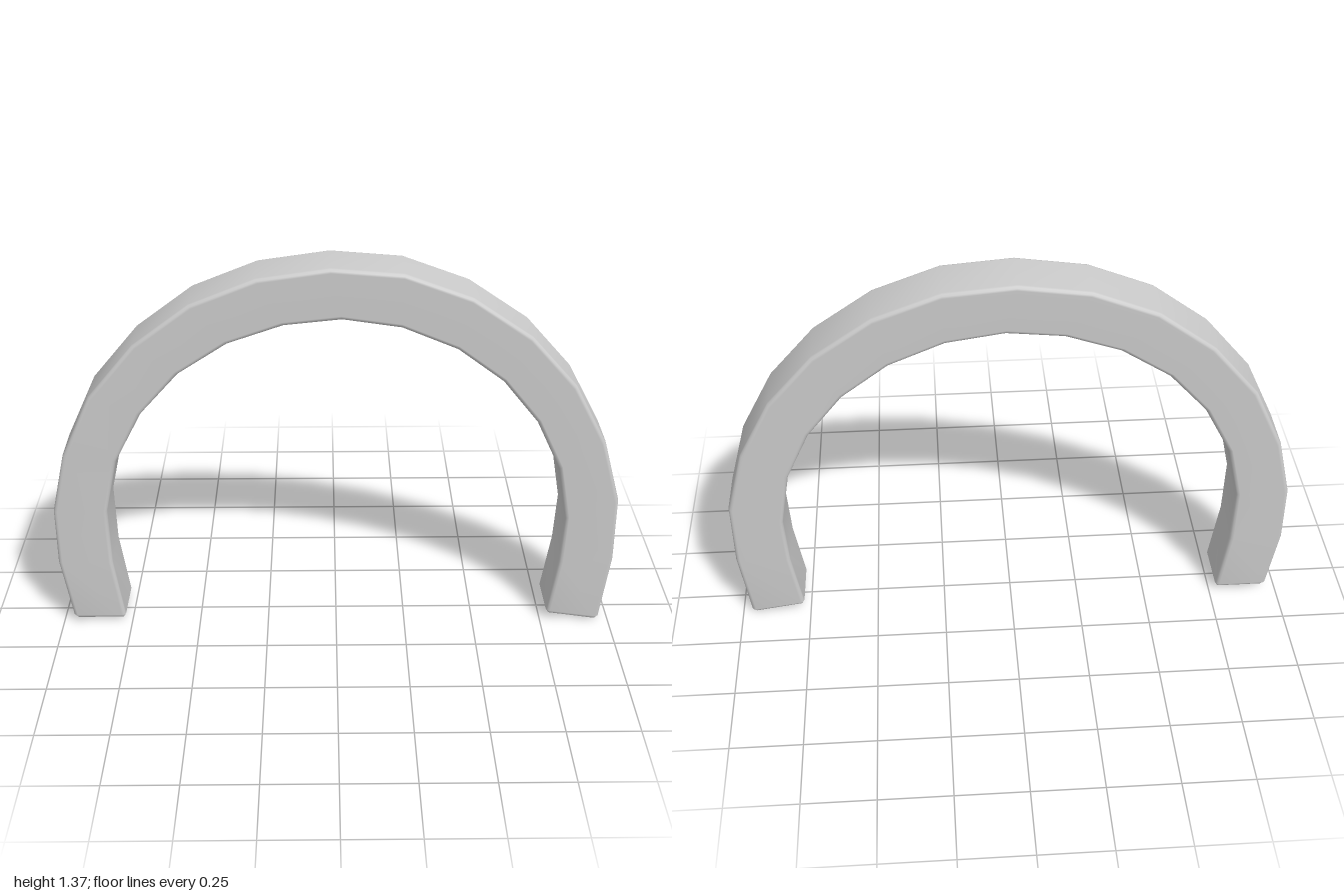
import * as THREE from 'three';

// matching stations along the arch, from the right foot over the top to the left foot
const OUTER = [[-0.96, 0.02], [-1, 0.26], [-1, 0.47], [-0.95, 0.69], [-0.845, 0.915], [-0.685, 1.105],
  [-0.49, 1.25], [-0.265, 1.34], [-0.02, 1.375], [0.225, 1.355], [0.455, 1.27], [0.66, 1.13],
  [0.82, 0.95], [0.935, 0.735], [1, 0.5], [1, 0.26], [0.965, 0]];
const INNER = [[-0.77, 0.02], [-0.805, 0.26], [-0.81, 0.47], [-0.765, 0.67], [-0.67, 0.85], [-0.535, 1],
  [-0.365, 1.11], [-0.175, 1.175], [0.02, 1.195], [0.22, 1.165], [0.41, 1.085], [0.57, 0.965],
  [0.695, 0.81], [0.78, 0.63], [0.815, 0.43], [0.805, 0.25], [0.77, 0.03]];
const HALF_DEPTH = 0.098, BEVEL = 0.015, CORNER_STEPS = 3;

// rounded rectangle, counter-clockwise: [across, z]
function section(halfWidth, inset) {
  const points = [];
  [[1, 1], [-1, 1], [-1, -1], [1, -1]].forEach(([sx, sz], q) => {
    for (let k = 0; k <= CORNER_STEPS; k++) {
      const a = (q + k / CORNER_STEPS) * Math.PI / 2;
      const r = BEVEL - inset;
      points.push([sx * (halfWidth - BEVEL) + r * Math.cos(a), sz * (HALF_DEPTH - BEVEL) + r * Math.sin(a)]);
    }
  });
  return points;
}

function archGeometry() {
  const positions = [], index = [], rings = [];
  const stations = OUTER.map((o, i) => ({
    o: new THREE.Vector2(...o), i: new THREE.Vector2(...INNER[i]), inset: 0,
  }));
  // softened foot edges: a full ring just inside each end, a smaller one at the end
  const foot = (end, next) => {
    const t = BEVEL / end.o.distanceTo(next.o);
    const back = { o: end.o.clone().lerp(next.o, t), i: end.i.clone().lerp(next.i, t), inset: 0 };
    return [{ ...end, inset: BEVEL * 0.7 }, back];
  };
  const n = stations.length;
  const path = [...foot(stations[0], stations[1]), ...stations.slice(1, -1),
    ...foot(stations[n - 1], stations[n - 2]).reverse()];

  for (const s of path) {
    const mid = s.o.clone().add(s.i).multiplyScalar(0.5);
    const across = s.o.clone().sub(s.i).normalize();
    rings.push(positions.length / 3);
    for (const [u, z] of section(s.o.distanceTo(s.i) / 2, s.inset)) {
      positions.push(mid.x + across.x * u, mid.y + across.y * u, z);
    }
  }
  const count = 4 * (CORNER_STEPS + 1);
  for (let r = 0; r < rings.length - 1; r++) {
    for (let j = 0; j < count; j++) {
      const k = (j + 1) % count, a = rings[r], b = rings[r + 1];
      index.push(a + j, a + k, b + j, a + k, b + k, b + j);
    }
  }
  // flat soles
  const cap = (start, flip) => {
    const base = positions.length / 3;
    positions.push(...positions.slice(start * 3, (start + count) * 3));
    for (let j = 1; j < count - 1; j++) {
      index.push(base, base + (flip ? j + 1 : j), base + (flip ? j : j + 1));
    }
  };
  cap(rings[0], true);
  cap(rings[rings.length - 1], false);

  const geometry = new THREE.BufferGeometry();
  geometry.setAttribute('position', new THREE.Float32BufferAttribute(positions, 3));
  geometry.setIndex(index);
  geometry.computeVertexNormals();
  return geometry;
}

export function createModel() {
  const group = new THREE.Group();
  group.name = 'archModel';
  const arch = new THREE.Mesh(archGeometry(), new THREE.MeshStandardMaterial({ color: 0xcccccc }));
  arch.name = 'arch';
  group.add(arch);
  return group;
}
